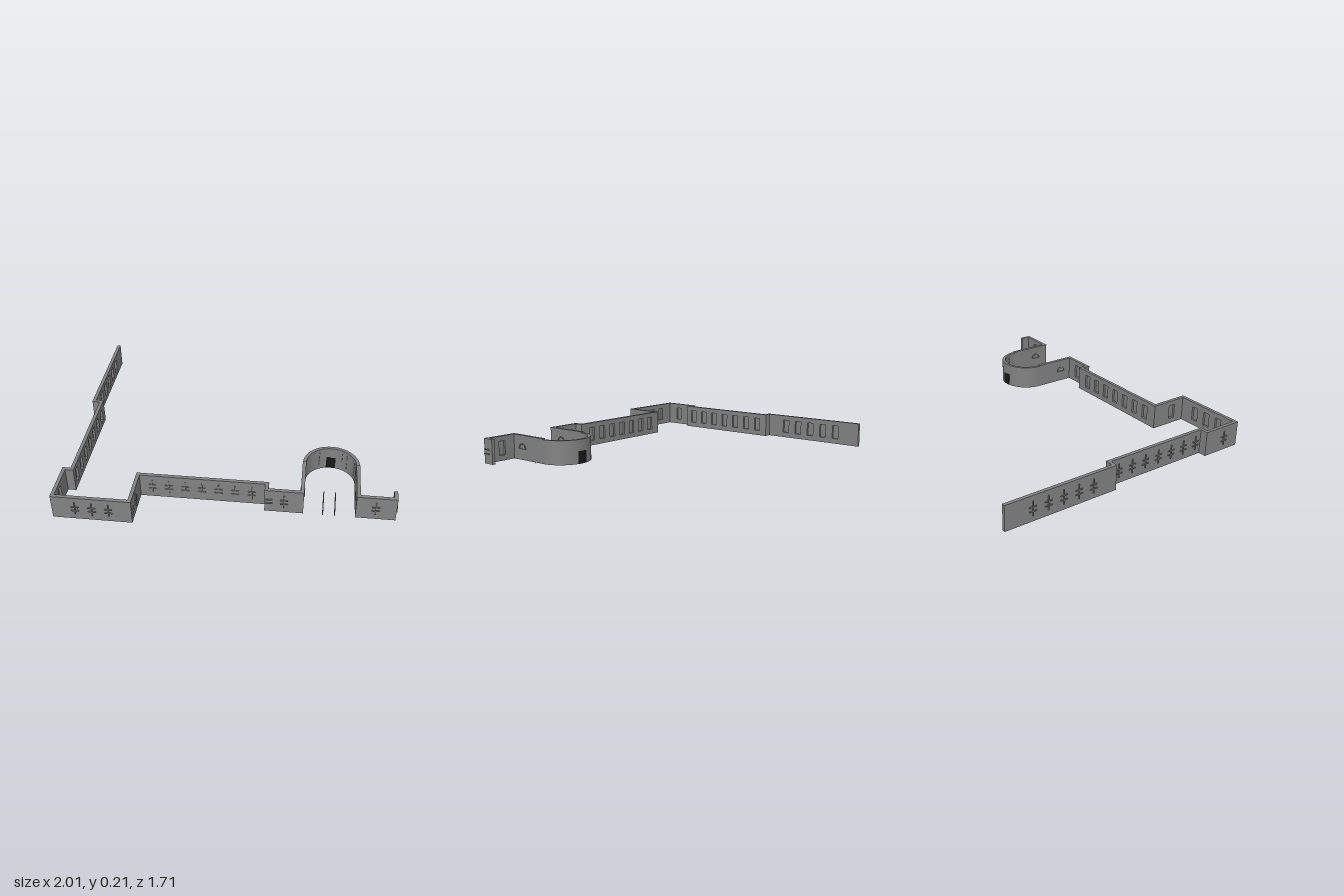
import * as THREE from 'three';
import { toCreasedNormals } from 'three/addons/utils/BufferGeometryUtils.js';

const T = 0.02, BASE = 0.05, TOP = 0.208, H = TOP - BASE;
const WIN_W = 0.046, WIN_Y = 0.035, WIN_H = 0.09;
const stone = new THREE.MeshStandardMaterial({ color: 0x828282 });
const dark = new THREE.MeshStandardMaterial({ color: 0x181818 });

function add(parent, name, geometry, x = 0, y = 0, z = 0, material = stone) {
  const mesh = new THREE.Mesh(geometry, material);
  mesh.name = name;
  mesh.position.set(x, y, z);
  parent.add(mesh);
  return mesh;
}
const box = (w, h, d) => new THREE.BoxGeometry(w, h, d);

function rectangle(path, x0, y0, x1, y1) {
  path.moveTo(x0, y0);
  path.lineTo(x1, y0);
  path.lineTo(x1, y1);
  path.lineTo(x0, y1);
  path.closePath();
  return path;
}

// Pair of horizontal bars standing proud of the outer face
function addBars(group, x) {
  for (const y of [0.063, 0.09]) add(group, 'crossBar', box(WIN_W, 0.006, 0.008), x, y, 0.002);
}

// Pane flush with the outer face, deep reveal inside, bars outside
function addWindow(group, x) {
  const mid = WIN_Y + WIN_H / 2;
  add(group, 'windowPane', box(WIN_W, WIN_H, 0.006), x, mid, -0.003);
  add(group, 'windowUpright', box(0.006, WIN_H, 0.008), x, mid, 0.002);
  addBars(group, x);
}

// Half-round light with an arched frame and a sill
function addFanlight(group, x) {
  const y = 0.07, r = 0.032;
  const pane = new THREE.Shape();
  pane.absarc(0, 0, r, 0, Math.PI);
  add(group, 'fanlightPane', new THREE.ExtrudeGeometry(pane, { depth: 0.008, bevelEnabled: false }), x, y, -0.014);
  for (const z of [-T - 0.001, 0.001]) {
    add(group, 'fanlightArch', new THREE.TorusGeometry(r, 0.003, 5, 16, Math.PI), x, y, z);
    add(group, 'fanlightSill', box(2 * r, 0.004, 0.006), x, y, z);
  }
}

// Straight wall whose outer face runs from a to b; openings are distances along it
function addWall(parent, a, b, { extend, windows, fanlights, bars }) {
  const dx = b[0] - a[0], dz = b[1] - a[1], length = Math.hypot(dx, dz);
  const group = new THREE.Group();
  group.name = 'wallSection';
  group.position.set(a[0], BASE, a[1]);
  group.rotation.y = Math.atan2(-dz, dx);
  const shape = rectangle(new THREE.Shape(), -extend, 0, length, H);
  for (const x of windows) {
    shape.holes.push(rectangle(new THREE.Path(), x - WIN_W / 2, WIN_Y, x + WIN_W / 2, WIN_Y + WIN_H));
  }
  for (const x of fanlights) {
    const hole = new THREE.Path();
    hole.absarc(x, 0.07, 0.032, 0, Math.PI);
    hole.closePath();
    shape.holes.push(hole);
  }
  add(group, 'wall', new THREE.ExtrudeGeometry(shape, { depth: T, bevelEnabled: false }), 0, 0, -T);
  windows.forEach((x) => addWindow(group, x));
  fanlights.forEach((x) => addFanlight(group, x));
  bars.forEach((x) => addBars(group, x));
  // Slim coping along the top edge
  add(group, 'coping', box(length + extend, 0.006, T + 0.002), (length - extend) / 2, H - 0.003, -T / 2);
  parent.add(group);
}

// Outer-face corners, with feature coordinates for the wall that starts at each one
function addRun(parent, corners) {
  for (let i = 0; i < corners.length - 1; i++) {
    const { at: a, windows = [], fanlights = [], bars = [] } = corners[i];
    const b = corners[i + 1].at;
    const axis = Math.abs(b[0] - a[0]) > Math.abs(b[1] - a[1]) ? 0 : 1;
    const along = (list) => list.map((v) => Math.abs(v - a[axis]));
    let extend = 0;
    if (i > 0) {
      const p = corners[i - 1].at;
      const turn = (a[0] - p[0]) * (b[1] - a[1]) - (a[1] - p[1]) * (b[0] - a[0]);
      if (turn > 0) extend = T; // fill the block behind an inward corner
    }
    addWall(parent, a, b, { extend, windows: along(windows), fanlights: along(fanlights), bars: along(bars) });
  }
}

const row = (start, step, count) => Array.from({ length: count }, (_, i) => start + step * i);

// Upright curved block between two radii and two angles
function ring(inner, outer, from, to, height) {
  const shape = new THREE.Shape();
  shape.absarc(0, 0, outer, from, to, false);
  shape.absarc(0, 0, inner, to, from, true);
  const g = new THREE.ExtrudeGeometry(shape, { depth: height, bevelEnabled: false, curveSegments: 32 });
  return toCreasedNormals(g.rotateX(-Math.PI / 2), 0.5);
}

export function createModel() {
  const model = new THREE.Group();
  model.name = 'facadeWalls';

  // Long run from the far wing to the curved entrance
  addRun(model, [
    { at: [-1, -0.855], windows: row(-0.68, 0.1, 5) },
    { at: [-1, -0.118] },
    { at: [-0.95, -0.118], windows: row(-0.06, 0.1, 7) },
    { at: [-0.95, 0.58] },
    { at: [-1, 0.58], windows: [0.73] },
    { at: [-1, 0.845], windows: row(-0.86, 0.1, 3) },
    { at: [-0.525, 0.845], windows: [0.73], bars: [0.822] },
    { at: [-0.525, 0.6], windows: row(-0.45, 0.1, 7) },
    { at: [0.23, 0.6] },
    { at: [0.23, 0.655], windows: [0.345], bars: [0.254] },
    { at: [0.46, 0.655], fanlights: [0.555] },
    { at: [0.46, 0.365] },
  ]);
  // Short run beyond the entrance
  addRun(model, [
    { at: [0.765, 0.365], fanlights: [0.555] },
    { at: [0.765, 0.655], windows: [0.88] },
    { at: [1, 0.655], bars: [0.63] },
    { at: [1, 0.58] },
  ]);

  // Half-round entrance wall with its door
  const entrance = new THREE.Group();
  entrance.name = 'curvedEntrance';
  entrance.position.set(0.6125, BASE, 0.365);
  const R = 0.1525, doorAngle = 0.19;
  add(entrance, 'curvedWall', ring(R, R + T, 0, Math.PI, H - 0.006));
  const door = ring(R - 0.001, R + T + 0.001, Math.PI / 2 - doorAngle, Math.PI / 2 + doorAngle, 0.08);
  add(entrance, 'door', door, 0, 0, 0, dark);
  // Columns of small blocks on the inner face
  for (const x of [-0.0725, 0.0675, 0.0975, 0.1425]) {
    const angle = Math.acos(x / R);
    for (const y of row(0.035, 0.028, 4)) {
      const block = add(entrance, 'wallBlock', box(0.006, 0.014, 0.006), x, y, -R * Math.sin(angle));
      block.rotation.y = angle - Math.PI / 2;
    }
  }
  model.add(entrance);

  // Rail posts climbing on both sides of the entrance steps
  for (const x of [0.577, 0.648]) {
    for (let i = 0; i < 6; i++) {
      add(model, 'railPost', new THREE.CylinderGeometry(0.003, 0.003, 0.045, 8), x, 0.0225 + i * 0.01, 0.6 - i * 0.02);
    }
  }
  return model;
}
